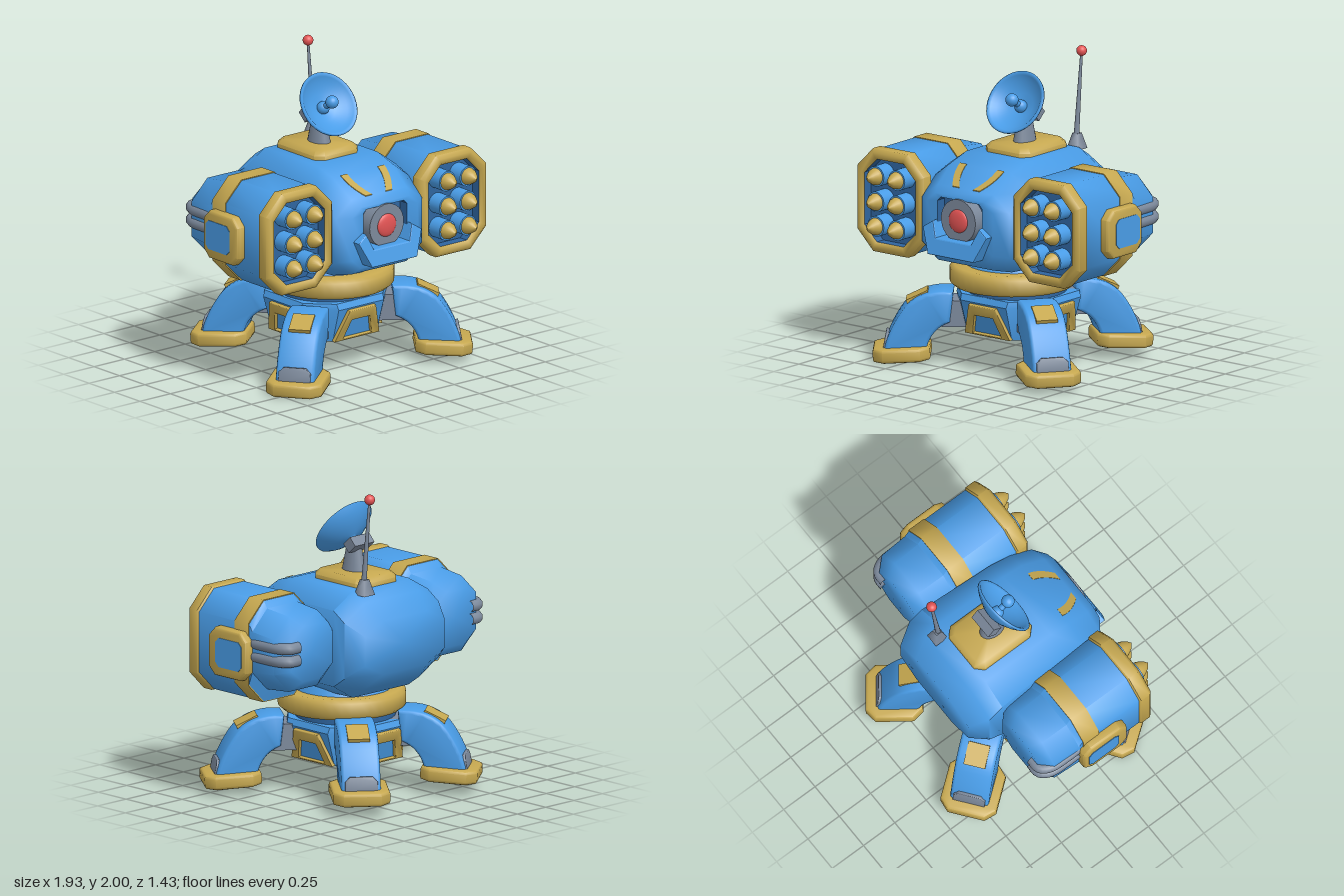
import * as THREE from 'three';
import { toCreasedNormals } from 'three/addons/utils/BufferGeometryUtils.js';

const material = (name, color) => new THREE.MeshStandardMaterial({ name, color });
const V = (x, y, z) => new THREE.Vector3(x, y, z);

// Chamfered rectangle ring at depth z, counter-clockwise seen from +z
function ring(z, w, y0, y1, cx, cy) {
  return [[w, y0 + cy], [w, y1 - cy], [w - cx, y1], [cx - w, y1],
    [-w, y1 - cy], [-w, y0 + cy], [cx - w, y0], [w - cx, y0]].map(([x, y]) => V(x, y, z));
}

// Skin through rings ordered back to front, with optional end caps
function loft(rings, capStart = true, capEnd = true, crease = 0.6) {
  const p = [];
  const tri = (...v) => v.forEach((q) => p.push(q.x, q.y, q.z));
  const centre = (r) => r.reduce((s, q) => s.add(q), V(0, 0, 0)).divideScalar(r.length);
  const n = rings[0].length, first = rings[0], last = rings[rings.length - 1];
  for (let k = 0; k + 1 < rings.length; k++) {
    for (let i = 0; i < n; i++) {
      const a = rings[k], b = rings[k + 1], j = (i + 1) % n;
      tri(a[i], a[j], b[j]);
      tri(a[i], b[j], b[i]);
    }
  }
  for (let i = 0; i < n; i++) {
    const j = (i + 1) % n;
    if (capStart) tri(centre(first), first[j], first[i]);
    if (capEnd) tri(centre(last), last[i], last[j]);
  }
  const g = new THREE.BufferGeometry();
  g.setAttribute('position', new THREE.Float32BufferAttribute(p, 3));
  return toCreasedNormals(g, crease);
}

const polygon = (pts) => new THREE.Shape(pts.map(([x, y]) => new THREE.Vector2(x, y)));
const octagon = (w, h, c) => new THREE.Shape(ring(0, w, -h, h, c, c).map((q) => new THREE.Vector2(q.x, q.y)));

// Bevelled extrusion centred on z = 0
function slab(shape, depth, bevel) {
  const g = new THREE.ExtrudeGeometry(shape, {
    depth, bevelEnabled: bevel > 0, bevelSize: bevel, bevelThickness: bevel, bevelSegments: 2, curveSegments: 10,
  });
  return toCreasedNormals(g.translate(0, 0, -depth / 2), 0.85);
}

export function createModel() {
  const blue = material('blue armour', 0x4a9ee9);
  const darkBlue = material('dark blue recess', 0x2f659f);
  const gold = material('gold trim', 0xc6a850);
  const grey = material('grey metal', 0x7c899b);
  const red = material('red signal', 0xe35454);

  const model = new THREE.Group();
  model.name = 'walkerTurret';
  const add = (parent, name, geometry, mat, x = 0, y = 0, z = 0) => {
    const m = new THREE.Mesh(geometry, mat);
    m.name = name;
    m.position.set(x, y, z);
    parent.add(m);
    return m;
  };
  const group = (parent, name) => {
    const g = new THREE.Group();
    g.name = name;
    parent.add(g);
    return g;
  };

  // Hull: z, half width, bottom, top, chamfer x, chamfer y
  const hull = [
    [-0.49, 0.35, 0.85, 1.2, 0.16, 0.08], [-0.37, 0.415, 0.74, 1.3, 0.17, 0.1],
    [-0.27, 0.415, 0.67, 1.365, 0.17, 0.1], [0.25, 0.385, 0.67, 1.365, 0.14, 0.1],
    [0.4, 0.375, 0.68, 1.32, 0.13, 0.1], [0.56, 0.355, 0.72, 1.21, 0.13, 0.1], [0.62, 0.27, 0.77, 1.17, 0.07, 0.06],
  ];
  const opening = [0.18, 0.88, 1.15, 0.025, 0.025];
  add(model, 'hull', loft([...hull.map((s) => ring(...s)), ring(0.62, ...opening)], true, false, 1.1), blue);
  add(model, 'eyeRecess', loft([ring(0.62, ...opening), ring(0.55, ...opening)], false, true), darkBlue);

  // Eye and jutting chin
  const disc = (r, d) => new THREE.CylinderGeometry(r, r, d, 32).rotateX(Math.PI / 2);
  add(model, 'eyeRing', disc(0.14, 0.09), grey, 0, 1.02, 0.59);
  const lens = new THREE.SphereGeometry(0.076, 24, 8, 0, Math.PI * 2, 0, Math.PI / 2);
  add(model, 'eyeLens', lens.scale(1, 0.3, 1).rotateX(Math.PI / 2), red, 0, 1.02, 0.634);
  const chin = slab(polygon([[-0.25, 0.95], [-0.18, 0.8], [0.18, 0.8], [0.25, 0.95], [0.19, 0.99],
    [0.15, 0.89], [-0.15, 0.89], [-0.19, 0.99]]), 0.15, 0.008);
  const cp = chin.attributes.position;
  for (let i = 0; i < cp.count; i++) cp.setZ(i, cp.getZ(i) + (0.88 - cp.getY(i)) * 0.28);
  chin.computeVertexNormals();
  add(model, 'chin', chin, blue, 0, 0, 0.61);

  // Curved brow stripes lying on the hull slope
  const hullTop = (z) => {
    const k = Math.max(1, hull.findIndex((s) => s[0] >= z));
    const a = hull[k - 1], b = hull[k];
    return THREE.MathUtils.lerp(a[3], b[3], (z - a[0]) / (b[0] - a[0]));
  };
  for (const s of [-1, 1]) {
    const rows = [];
    for (let i = 0; i <= 8; i++) {
      const t = i / 8, z = 0.395 + 0.162 * t, x = s * (0.152 - 0.07 * t * t), y = hullTop(z);
      rows.push([V(x + 0.027, y - 0.004, z), V(x + 0.027, y + 0.005, z), V(x - 0.027, y + 0.005, z), V(x - 0.027, y - 0.004, z)]);
    }
    add(model, 'browStripe', loft(rows), gold);
  }

  // Missile pods
  for (const s of [-1, 1]) {
    const pod = group(model, s > 0 ? 'leftPod' : 'rightPod');
    pod.position.x = s * 0.635;
    const c = [0.13, 0.13];
    add(pod, 'podShell', loft([
      ring(-0.3, 0.18, 0.86, 1.22, 0.1, 0.08), ring(-0.22, 0.256, 0.79, 1.28, ...c),
      ring(-0.03, 0.262, 0.775, 1.3, ...c), ring(0, 0.262, 0.69, 1.345, ...c), ring(0.47, 0.262, 0.69, 1.345, ...c),
    ], true, false, 1.0), blue);
    add(pod, 'podBand', loft([ring(0, 0.267, 0.685, 1.35, ...c), ring(0.125, 0.267, 0.685, 1.35, ...c)], true, true, 1.0), gold);
    const mouth = [0.208, 0.748, 1.287, 0.1, 0.1];
    add(pod, 'podRim', loft([
      ring(0.45, 0.262, 0.69, 1.345, ...c), ring(0.46, 0.272, 0.683, 1.353, ...c), ring(0.53, 0.272, 0.683, 1.353, ...c),
      ring(0.55, 0.25, 0.705, 1.33, 0.12, 0.12), ring(0.55, 0.22, 0.735, 1.3, 0.107, 0.107), ring(0.535, ...mouth),
    ], false, false, 0.9), gold);
    add(pod, 'podRecess', loft([ring(0.535, ...mouth), ring(0.47, ...mouth)], false, true), darkBlue);

    // Two columns of three missiles
    for (const x of [-0.085, 0.085]) {
      for (const y of [0.86, 1.02, 1.185]) {
        add(pod, 'missileBody', disc(0.066, 0.12), blue, x, y, 0.515);
        const tip = new THREE.LatheGeometry([[0.056, 0], [0.05, 0.025], [0.03, 0.06], [0, 0.085]]
          .map(([r, h]) => new THREE.Vector2(r, h)), 20).rotateX(Math.PI / 2);
        add(pod, 'missileTip', tip, gold, x, y, 0.574);
      }
    }

    // Side hatch and wrap-around exhaust pipes
    const hatch = slab(octagon(0.15, 0.138, 0.045), 0.05, 0.02).rotateY(Math.PI / 2);
    add(pod, 'hatchFrame', hatch, gold, s * 0.28, 1.005, 0.14);
    const panel = slab(octagon(0.118, 0.095, 0.03), 0.008, 0).rotateY(Math.PI / 2);
    add(pod, 'hatchPanel', panel, blue, s * 0.325, 1.005, 0.12);
    for (const y of [1.008, 1.092]) {
      const path = new THREE.CatmullRomCurve3([V(s * 0.236, y, 0), V(s * 0.238, y, -0.12),
        V(s * 0.228, y, -0.24), V(s * 0.19, y, -0.293), V(s * 0.12, y, -0.296)]);
      add(pod, 'exhaustPipe', new THREE.TubeGeometry(path, 20, 0.038, 10), grey);
    }
  }

  // Turntable ring and collars
  const ringProfile = [[0.3, 0.512], [0.38, 0.512], [0.405, 0.535], [0.405, 0.622], [0.38, 0.645], [0.28, 0.645]];
  const turntable = new THREE.LatheGeometry(ringProfile.map(([r, y]) => new THREE.Vector2(r, y)), 40);
  add(model, 'turntableRing', toCreasedNormals(turntable, 0.9), gold, 0, 0, 0.08);
  add(model, 'upperCollar', new THREE.CylinderGeometry(0.28, 0.32, 0.09, 32), blue, 0, 0.665, 0.07);
  add(model, 'lowerCollar', new THREE.CylinderGeometry(0.32, 0.32, 0.1, 32), darkBlue, 0, 0.475, 0.05);

  // Tapered chassis with a trapezoid frame on each face
  const chassis = group(model, 'chassis');
  chassis.position.z = 0.03;
  const square = (y, h, c) => ring(y, h, -h, h, c, c);
  add(chassis, 'chassisShell', loft([square(0.21, 0.29, 0.11), square(0.43, 0.355, 0.17), square(0.47, 0.34, 0.15)])
    .rotateX(-Math.PI / 2), blue);
  const frame = polygon([[-0.18, 0], [0.18, 0], [0.105, 0.205], [-0.105, 0.205]]);
  frame.holes.push(polygon([[-0.122, 0.004], [-0.077, 0.143], [0.077, 0.143], [0.122, 0.004]]));
  for (let i = 0; i < 4; i++) {
    const side = group(chassis, 'chassisSide');
    side.rotation.y = i * Math.PI / 2;
    add(side, 'chassisFrame', slab(frame, 0.03, 0.004), gold, 0, 0.218, 0.297).rotation.x = 0.285;
  }

  // Four legs: foot x, foot z, lift
  const legShape = new THREE.Shape();
  legShape.moveTo(0.45, 0.28);
  legShape.lineTo(0.43, 0.445);
  legShape.quadraticCurveTo(0.63, 0.455, 0.72, 0.32);
  legShape.quadraticCurveTo(0.8, 0.2, 0.825, 0.09);
  legShape.lineTo(0.6, 0.09);
  legShape.quadraticCurveTo(0.57, 0.23, 0.45, 0.28);
  for (const [x, z, lift] of [[-0.59, 0.44, 0], [0.6, 0.44, 0.035], [-0.405, -0.525, 0.065], [0.405, -0.525, 0.065]]) {
    const leg = group(model, z > 0 ? 'frontLeg' : 'rearLeg');
    const r = Math.hypot(x, z), shift = r - 0.736;
    leg.position.set(x / r * shift, lift, z / r * shift + 0.03);
    leg.rotation.y = Math.atan2(-z, x);
    add(leg, 'legArmour', slab(legShape, 0.21, 0.02), blue);
    add(leg, 'hipJoint', new THREE.BoxGeometry(0.2, 0.17, 0.2), grey, 0.39, 0.32, 0);
    add(leg, 'kneePatch', new THREE.BoxGeometry(0.15, 0.054, 0.14), gold, 0.632, 0.405, 0).rotation.z = -0.45;
    const ankle = slab(polygon([[-0.1, -0.05], [0.1, -0.05], [0.1, 0.01], [0.07, 0.04], [-0.07, 0.04], [-0.1, 0.01]]), 0.05, 0.004);
    add(leg, 'anklePlate', ankle.rotateY(Math.PI / 2), grey, 0.816, 0.135, 0).rotation.z = 0.18;
    add(leg, 'foot', slab(octagon(0.162, 0.162, 0.05), 0.05, 0.02).rotateX(-Math.PI / 2), gold, 0.736, 0.057, 0).rotation.z = -0.06;
  }

  // Radar dish on its pedestal
  const radar = group(model, 'radar');
  add(radar, 'radarBase', loft([ring(1.34, 0.18, -0.185, 0.275, 0.05, 0.05), ring(1.39, 0.18, -0.185, 0.275, 0.05, 0.05),
    ring(1.42, 0.15, -0.155, 0.245, 0.04, 0.04)], true, true, 0.9).rotateX(-Math.PI / 2), gold);
  add(radar, 'radarPedestal', new THREE.CylinderGeometry(0.05, 0.09, 0.19, 20).scale(0.7, 1, 1), grey, 0, 1.505, -0.03);
  add(radar, 'radarHinge', new THREE.BoxGeometry(0.17, 0.07, 0.08), grey, 0, 1.6, -0.075).rotation.x = 0.75;
  const dish = group(radar, 'dish');
  dish.position.set(0, 1.68, 0.06);
  dish.rotation.x = 0.985;
  const bowl = [[0, -0.1], [0.1, -0.08], [0.17, -0.038], [0.212, -0.004], [0.214, 0.008], [0.203, 0.012], [0.188, 0.002], [0.16, -0.026], [0.09, -0.064], [0, -0.08]];
  add(dish, 'dishBowl', new THREE.LatheGeometry(bowl.map(([r, y]) => new THREE.Vector2(r, y)), 40), blue);
  add(dish, 'feedBase', new THREE.SphereGeometry(0.042, 20, 12), blue, 0, -0.06, 0);
  add(dish, 'feedRod', new THREE.CylinderGeometry(0.018, 0.022, 0.1, 12), blue, 0, -0.01, 0);
  add(dish, 'feedHorn', new THREE.SphereGeometry(0.042, 20, 12), blue, 0, 0.045, 0);

  // Antenna leaning back
  add(model, 'antennaFoot', new THREE.CylinderGeometry(0.03, 0.066, 0.1, 4).rotateY(Math.PI / 4), grey, 0.19, 1.39, -0.32);
  add(model, 'antennaRod', new THREE.CylinderGeometry(0.008, 0.018, 0.55, 12), grey, 0.19, 1.69, -0.34).rotation.x = -0.095;
  add(model, 'antennaBall', new THREE.SphereGeometry(0.034, 20, 14), red, 0.19, 1.966, -0.366);

  return model;
}
